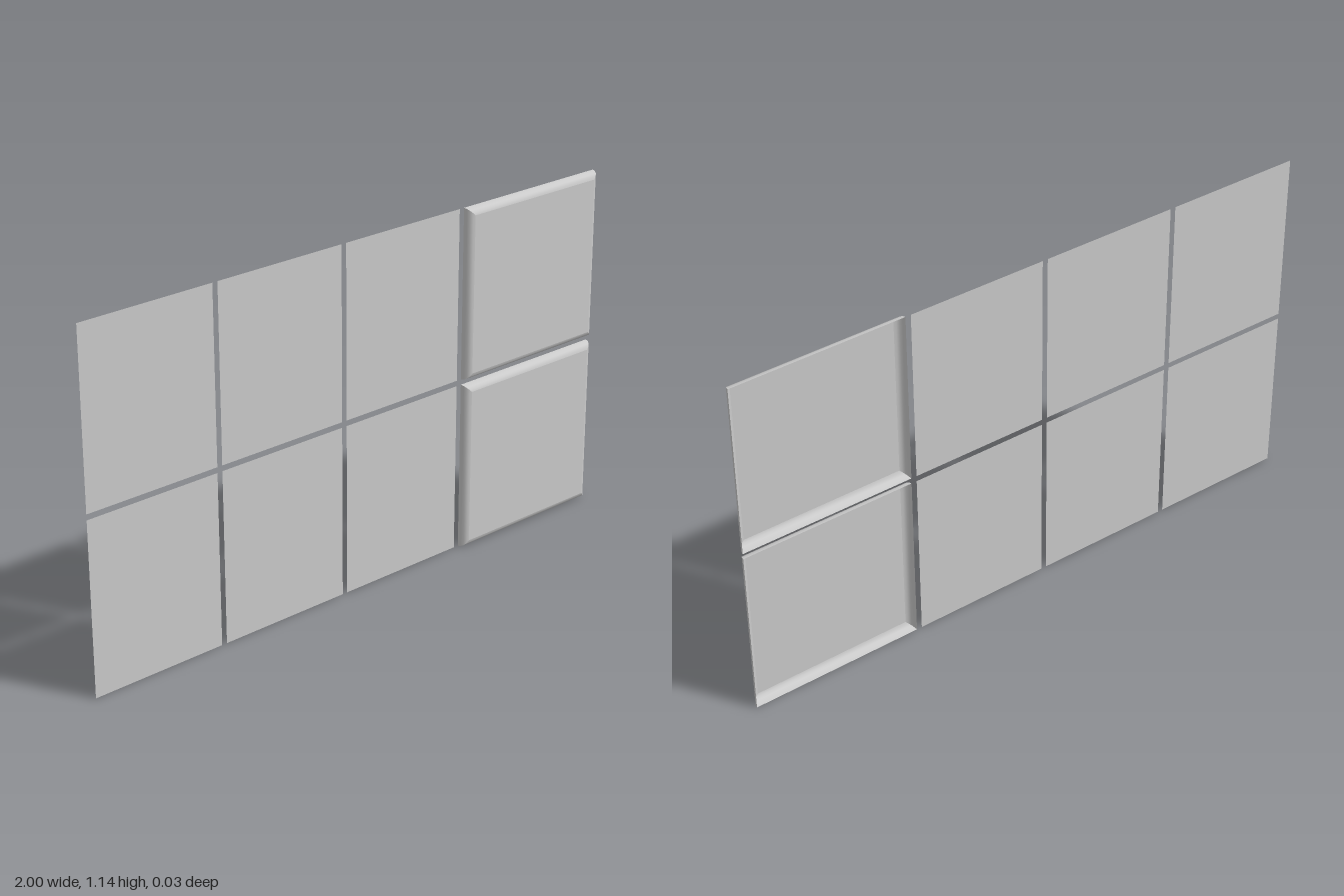
import * as THREE from 'three';

const material = new THREE.MeshStandardMaterial({ color: 0xcccccc, side: THREE.DoubleSide });
const BACK = -0.014, DEPTH = 0.028, INSET = 0.022, GAP = 0.018;
const TILE_H = 0.559, TILE_W = 0.4587, TRAY_W = 0.57;

// One rounded, mitred rim strip along the bottom edge of a w x h tray
function rimStrip(w, h, steps = 4) {
  const pos = [], idx = [];
  for (let i = 0; i <= steps; i++) {
    const a = (i / steps) * Math.PI / 2;
    const inset = INSET * (1 - Math.cos(a));
    const z = BACK + DEPTH * Math.sin(a);
    pos.push(-w / 2 + inset, -h / 2 + inset, z, w / 2 - inset, -h / 2 + inset, z);
    if (i < steps) {
      const k = i * 2;
      idx.push(k, k + 1, k + 3, k, k + 3, k + 2);
    }
  }
  const g = new THREE.BufferGeometry();
  g.setAttribute('position', new THREE.Float32BufferAttribute(pos, 3));
  g.setIndex(idx);
  g.computeVertexNormals();
  return g;
}

// Shallow tray: flat front face, four rounded rims, open at the back
function createTray(w, h) {
  const tray = new THREE.Group();
  tray.name = 'endTray';
  const face = new THREE.Mesh(new THREE.PlaneGeometry(w - 2 * INSET, h - 2 * INSET), material);
  face.name = 'trayFace';
  face.position.z = BACK + DEPTH;
  tray.add(face);
  ['bottomRim', 'leftRim', 'topRim', 'rightRim'].forEach((name, i) => {
    const rim = new THREE.Mesh(i % 2 ? rimStrip(h, w) : rimStrip(w, h), material);
    rim.name = name;
    rim.rotation.z = i * Math.PI / 2;
    tray.add(rim);
  });
  return tray;
}

export function createModel() {
  const model = new THREE.Group();
  model.name = 'tilePanels';
  for (let row = 0; row < 2; row++) {
    const y = TILE_H / 2 + row * (TILE_H + GAP);
    // Three flat tiles level with the back of the tray
    for (let col = 0; col < 3; col++) {
      const tile = new THREE.Mesh(new THREE.PlaneGeometry(TILE_W, TILE_H), material);
      tile.name = 'flatTile';
      tile.position.set(-1 + TILE_W / 2 + col * (TILE_W + GAP), y, BACK);
      model.add(tile);
    }
    // Raised end tile
    const tray = createTray(TRAY_W, TILE_H);
    tray.position.set(1 - TRAY_W / 2, y, 0);
    model.add(tray);
  }
  return model;
}
